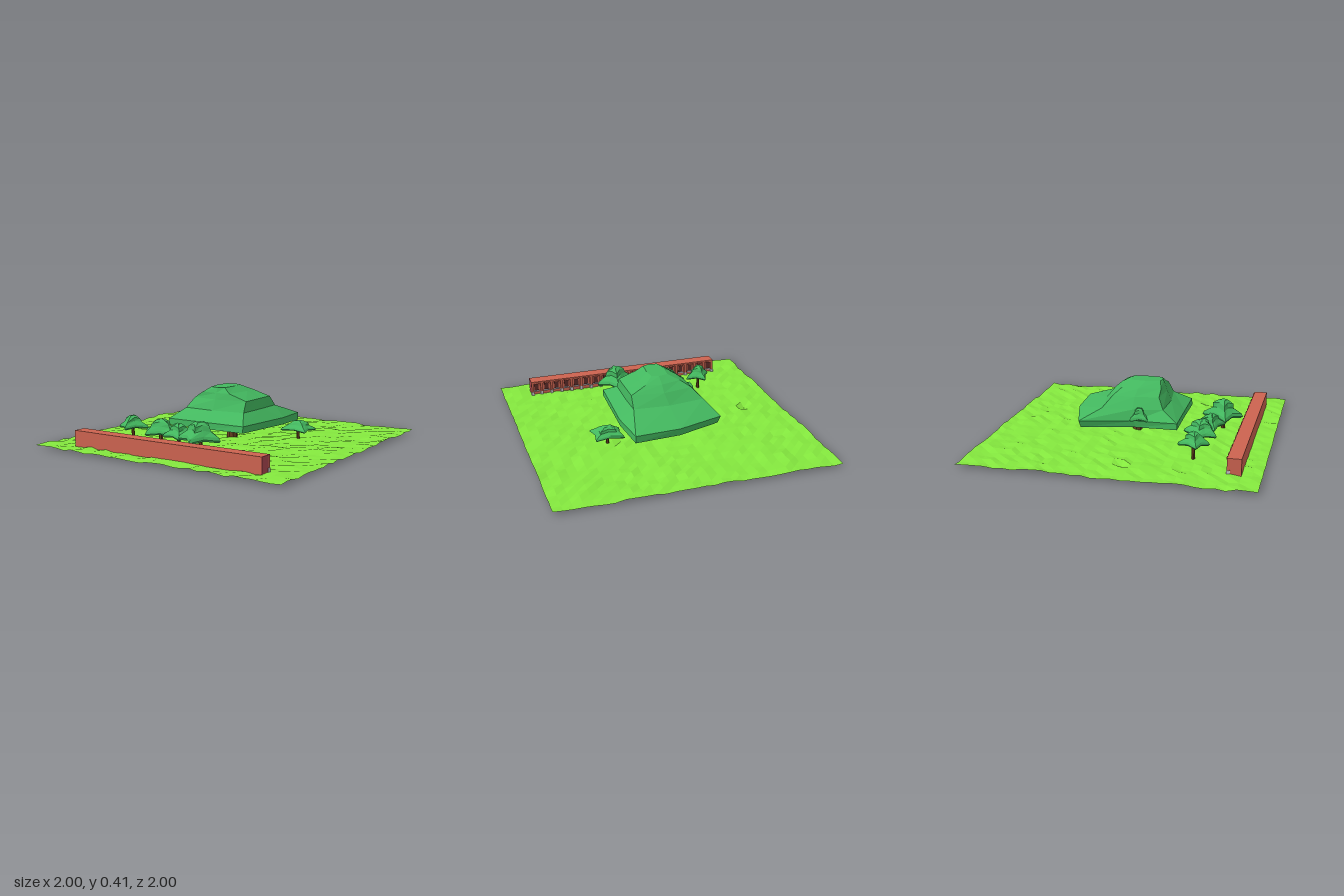
import * as THREE from 'three';

const mat = (color) => new THREE.MeshStandardMaterial({ color, flatShading: true });
const leaf = mat(0x43b85f), bark = mat(0x66401f), brick = mat(0xcc6350);
const endBrick = mat(0xa8464f), glass = mat(0x5a2a28), stone = mat(0xc9c4c8);
const grass = new THREE.MeshStandardMaterial({ color: 0x84e83e, flatShading: true, side: THREE.DoubleSide });

function seeded(seed) {
  return () => {
    seed = (seed * 16807) % 2147483647;
    return seed / 2147483647;
  };
}

function add(parent, name, geometry, material, x = 0, y = 0, z = 0) {
  const mesh = new THREE.Mesh(geometry, material);
  mesh.name = name;
  mesh.position.set(x, y, z);
  parent.add(mesh);
  return mesh;
}

// Closed faceted skin over rings of [x, y, z], listed clockwise from above
function loft(rings) {
  const n = rings[0].length, pos = [...rings.flat(2)], idx = [];
  rings.slice(1).forEach((_, k) => {
    for (let i = 0; i < n; i++) {
      const a = k * n + i, b = k * n + (i + 1) % n;
      idx.push(a, a + n, b, b, a + n, b + n);
    }
  });
  [0, rings.length - 1].forEach((k) => {
    const c = pos.length / 3;
    for (let j = 0; j < 3; j++) pos.push(rings[k].reduce((s, p) => s + p[j], 0) / n);
    for (let i = 0; i < n; i++) {
      const a = k * n + i, b = k * n + (i + 1) % n;
      idx.push(c, ...(k ? [b, a] : [a, b]));
    }
  });
  const g = new THREE.BufferGeometry();
  g.setAttribute('position', new THREE.Float32BufferAttribute(pos, 3));
  g.setIndex(idx);
  g.computeVertexNormals();
  return g;
}

// Ring from flat x, z pairs at height y, tilted along z
function ring(y, tilt, xz) {
  const out = [];
  for (let i = 0; i < xz.length; i += 2) out.push([xz[i], y + tilt * xz[i + 1], xz[i + 1]]);
  return out;
}

// Small canopy: four pointed corners, pinched sides, stepped crown
function smallCanopy(corners, y0, y1, seed) {
  const rnd = seeded(seed);
  const cx = (corners[0] + corners[2] + corners[4] + corners[6]) / 4;
  const cz = (corners[1] + corners[3] + corners[5] + corners[7]) / 4;
  const outline = [];
  for (let i = 0; i < 4; i++) {
    const j = (i + 1) % 4;
    const dx = corners[2 * i] - cx, dz = corners[2 * i + 1] - cz;
    const ex = corners[2 * j] - cx, ez = corners[2 * j + 1] - cz;
    outline.push([dx, dz], [(dx + ex) * 0.42, (dz + ez) * 0.42]);
  }
  const levels = [[0.9, 0], [1, 0.1], [0.92, 0.26], [0.6, 0.52], [0.48, 0.78], [0.22, 1]];
  return loft(levels.map(([s, h], k) => outline.map(([x, z], i) => {
    const f = k > 2 ? s * (0.85 + 0.3 * rnd()) : s;
    const lift = k < 5 && i % 2 ? 0.1 : 0;
    return [cx + x * f, y0 + (y1 - y0) * (h + lift), cz + z * f];
  })));
}

export function createModel() {
  const model = new THREE.Group();

  // Bumpy lawn
  const lawn = new THREE.PlaneGeometry(2, 2, 30, 30).rotateX(-Math.PI / 2);
  const rnd = seeded(71), p = lawn.attributes.position;
  for (let i = 0; i < p.count; i++) {
    const wave = 0.004 * Math.sin(p.getX(i) * 9 + 1) * Math.cos(p.getZ(i) * 8);
    p.setY(i, i ? 0.021 + wave + (rnd() - 0.5) * 0.017 : 0);
  }
  p.setY(0, 0.02);
  p.setY(500, 0);
  lawn.computeVertexNormals();
  add(model, 'lawn', lawn, grass);

  // Large tree
  const bigTree = new THREE.Group();
  bigTree.name = 'largeTree';
  model.add(bigTree);
  add(bigTree, 'largeCanopy', loft([
    ring(0.128, 0.03, [-0.35, -0.33, -0.03, -0.43, 0.3, -0.45, 0.33, -0.17, 0.315, 0.35, 0, 0.35, -0.31, 0.355, -0.29, 0.05]),
    ring(0.178, 0.02, [-0.37, -0.34, -0.03, -0.44, 0.3, -0.455, 0.335, -0.17, 0.315, 0.345, 0, 0.35, -0.31, 0.355, -0.3, 0.05]),
    ring(0.255, 0, [-0.29, -0.19, -0.02, -0.23, 0.24, -0.21, 0.245, -0.02, 0.24, 0.22, 0, 0.25, -0.24, 0.24, -0.28, 0.03]),
    ring(0.33, 0, [-0.22, -0.13, 0, -0.17, 0.235, -0.14, 0.235, 0, 0.235, 0.18, 0, 0.22, -0.19, 0.2, -0.22, 0.03]),
    ring(0.375, 0, [-0.15, -0.08, 0, -0.12, 0.12, -0.1, 0.13, 0, 0.1, 0.19, 0, 0.205, -0.12, 0.2, -0.16, 0.04]),
    ring(0.413, 0, [-0.07, -0.03, 0, -0.05, 0.05, -0.03, 0.06, 0.05, 0.05, 0.17, 0, 0.19, -0.06, 0.18, -0.08, 0.08]),
  ]), leaf);
  add(bigTree, 'canopyLump', smallCanopy([-0.33, 0.02, -0.24, 0.01, -0.23, 0.14, -0.32, 0.15], 0.18, 0.27, 5), leaf);
  add(bigTree, 'largeTrunk', new THREE.CylinderGeometry(0.032, 0.04, 0.15, 8), bark, 0, 0.09, 0);

  // Small trees: canopy corners, canopy bottom and top, trunk radius
  [
    [[-0.545, 0.405, -0.405, 0.47, -0.505, 0.62, -0.615, 0.545], 0.115, 0.21, 0.012],
    [[-0.4, 0.505, -0.22, 0.385, -0.09, 0.57, -0.31, 0.635], 0.1, 0.21, 0.015],
    [[-0.18, 0.44, 0.045, 0.52, 0, 0.65, -0.18, 0.6], 0.1, 0.2, 0.013],
    [[0.155, 0.455, 0.295, 0.585, 0.16, 0.755, -0.01, 0.65], 0.11, 0.245, 0.015],
    [[0.33, -0.3, 0.54, -0.295, 0.545, -0.12, 0.33, -0.14], 0.083, 0.157, 0.012],
  ].forEach(([c, y0, y1, r], i) => {
    const tree = new THREE.Group();
    tree.name = `smallTree${i + 1}`;
    model.add(tree);
    add(tree, 'canopy', smallCanopy(c, y0, y1, 11 + i * 7), leaf);
    const h = y0 + 0.025;
    add(tree, 'trunk', new THREE.CylinderGeometry(r * 0.85, r, h, 6), bark,
      (c[0] + c[2] + c[4] + c[6]) / 4, 0.01 + h / 2, (c[1] + c[3] + c[5] + c[7]) / 4);
  });

  // Long brick terrace with a plain front and bays along its back
  const terrace = new THREE.Group();
  terrace.name = 'brickTerrace';
  model.add(terrace);
  const box = (name, w, h, d, m, x, y, z) => add(terrace, name, new THREE.BoxGeometry(w, h, d), m, x, y, z);
  const x0 = -0.75, x1 = 0.785, bays = 19, step = (x1 - x0) / bays, mid = (x0 + x1) / 2;
  box('wall', x1 - x0 - 0.002, 0.115, 0.077, brick, mid, 0.0745, 0.8265);
  box('endWall', 0.003, 0.105, 0.077, endBrick, x1 - 0.001, 0.0795, 0.8265);
  box('cornice', x1 - x0, 0.014, 0.02, brick, mid, 0.125, 0.78);
  for (let i = 0; i <= bays; i++) {
    const x = THREE.MathUtils.clamp(x0 + i * step, x0 + 0.009, x1 - 0.009);
    box('pier', 0.018, 0.08, 0.02, brick, x, 0.082, 0.78);
    box('pierFoot', 0.022, 0.028, 0.024, stone, x, 0.034, 0.779);
    if (i === bays) break;
    const cx = x0 + (i + 0.5) * step;
    box('window', 0.034, 0.056, 0.004, glass, cx, 0.082, 0.787);
    box('sill', 0.042, 0.008, 0.014, stone, cx, 0.05, 0.783);
    box('corniceTooth', 0.035, 0.012, 0.008, brick, cx, 0.12, 0.767);
  }
  return model;
}
